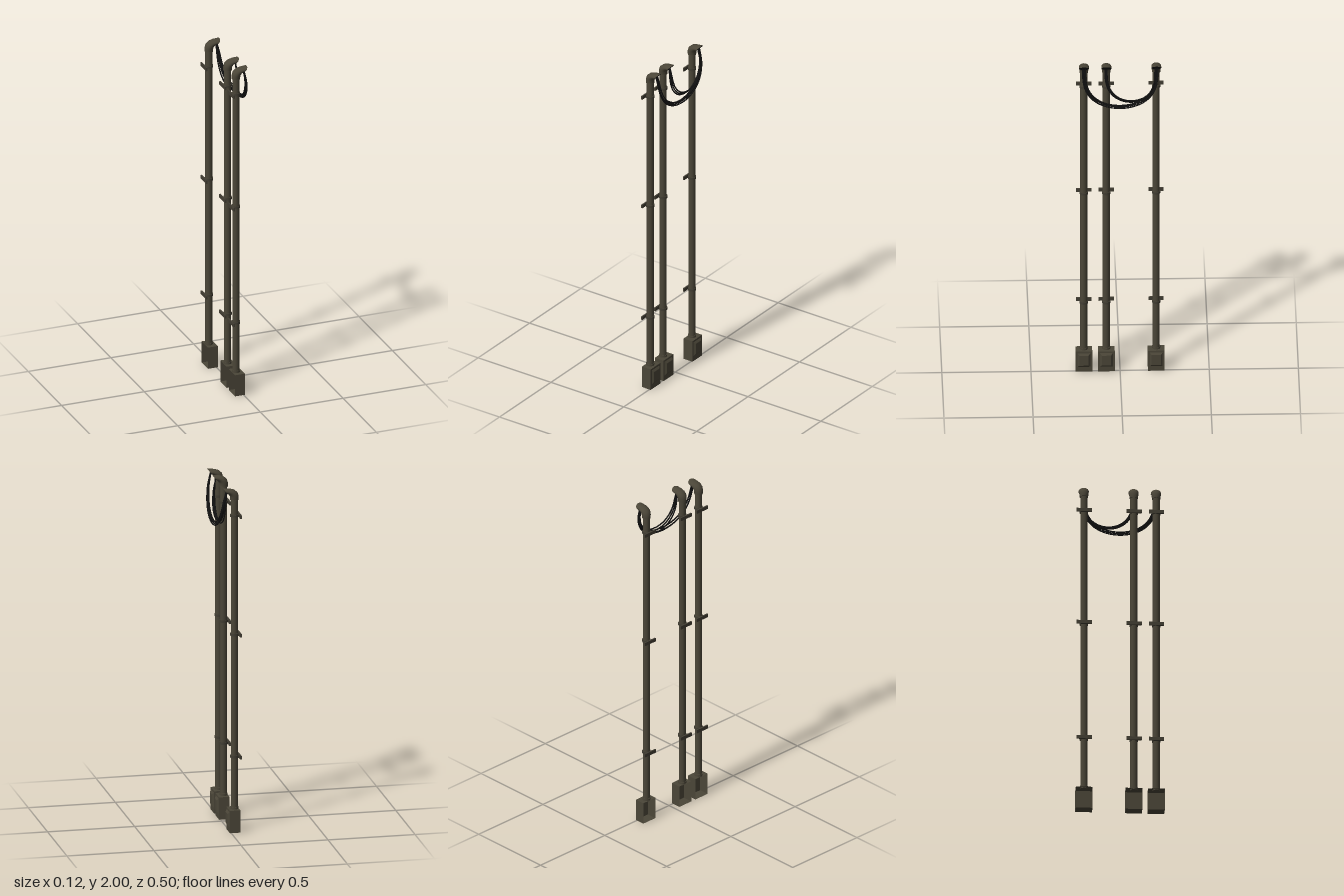
import * as THREE from 'three';

const mat = (name, color, side = THREE.FrontSide) => {
  const m = new THREE.MeshStandardMaterial({ color, side });
  m.name = name;
  return m;
};

export function createModel() {
  const model = new THREE.Group();
  const metal = mat('weathered brown metal', 0x4b4638);
  const sheet = mat('brown sheet metal', 0x4b4638, THREE.DoubleSide);
  const bracketMetal = mat('bracket metal', 0x423e33);
  const rubber = mat('black rubber', 0x121212, THREE.DoubleSide);
  const POLE_X = -0.028;

  const add = (parent, name, geo, material, x = 0, y = 0, z = 0) => {
    const mesh = new THREE.Mesh(geo, material);
    mesh.name = name;
    mesh.position.set(x, y, z);
    parent.add(mesh);
    return mesh;
  };

  // Curved hood lofted through elliptical rings: outer x, outer y, inner x, inner y, half width
  const rings = [
    [-0.052, 1.935, -0.004, 1.935, 0.024],
    [-0.052, 1.955, -0.003, 1.949, 0.026],
    [-0.045, 1.975, 0.000, 1.957, 0.028],
    [-0.026, 1.991, 0.004, 1.962, 0.028],
    [0.002, 1.998, 0.008, 1.966, 0.028],
    [0.037, 2.000, 0.010, 1.968, 0.028],
  ];
  const SIDES = 18;
  const ringPoint = ([ox, oy, ix, iy, w], k) => {
    const a = (k / SIDES) * Math.PI * 2, t = (1 - Math.cos(a)) / 2;
    return [ox + (ix - ox) * t, oy + (iy - oy) * t, w * Math.sin(a)];
  };
  function hoodGeometry() {
    const pos = [], index = [];
    rings.forEach((r) => { for (let k = 0; k < SIDES; k++) pos.push(...ringPoint(r, k)); });
    for (let i = 0; i < rings.length - 1; i++) {
      for (let k = 0; k < SIDES; k++) {
        const a = i * SIDES + k, b = i * SIDES + (k + 1) % SIDES;
        index.push(a, b, b + SIDES, a, b + SIDES, a + SIDES);
      }
    }
    const g = new THREE.BufferGeometry();
    g.setAttribute('position', new THREE.Float32BufferAttribute(pos, 3));
    g.setIndex(index);
    g.computeVertexNormals();
    return g;
  }
  // Dark disc that closes the hood's slanted mouth
  function mouthGeometry() {
    const pos = [], last = rings[rings.length - 1];
    const c = [(last[0] + last[2]) / 2, (last[1] + last[3]) / 2, 0];
    for (let k = 0; k < SIDES; k++) pos.push(...c, ...ringPoint(last, k), ...ringPoint(last, k + 1));
    const g = new THREE.BufferGeometry();
    g.setAttribute('position', new THREE.Float32BufferAttribute(pos, 3));
    g.computeVertexNormals();
    return g;
  }

  // Meter box with an open back: four walls and a front
  function addBox(parent) {
    const box = new THREE.Group();
    box.name = 'baseBox';
    parent.add(box);
    const [x0, x1, h, w] = [-0.052, 0.008, 0.13, 0.094];
    const cx = (x0 + x1) / 2, d = x1 - x0;
    for (const s of [-1, 1]) {
      const side = add(box, 'boxSide', new THREE.PlaneGeometry(d, h), sheet, cx, h / 2, s * w / 2);
      if (s < 0) side.rotation.y = Math.PI;
      const lid = add(box, s > 0 ? 'boxTop' : 'boxBottom', new THREE.PlaneGeometry(d, w), sheet, cx, s > 0 ? h : 0, 0);
      lid.rotation.x = -s * Math.PI / 2;
    }
    add(box, 'boxFront', new THREE.PlaneGeometry(w, h), sheet, x1, h / 2, 0).rotation.y = Math.PI / 2;
    // Bevelled door panel: a four-sided frustum lying on the front
    const door = new THREE.CylinderGeometry(0.72 * Math.SQRT1_2, Math.SQRT1_2, 1, 4).toNonIndexed();
    door.rotateY(Math.PI / 4);
    door.rotateZ(-Math.PI / 2);
    door.scale(0.009, 0.088, 0.072);
    door.computeVertexNormals();
    add(box, 'doorPanel', door, metal, x1 + 0.0045, 0.075, 0);
  }

  const hood = hoodGeometry(), mouth = mouthGeometry();
  const poleZ = [0.203, 0.077, -0.203];
  poleZ.forEach((z) => {
    const conduit = new THREE.Group();
    conduit.name = 'conduit';
    conduit.position.z = z;
    model.add(conduit);
    addBox(conduit);
    add(conduit, 'pole', new THREE.CylinderGeometry(0.02, 0.02, 1.83, 16), metal, POLE_X, 1.04, 0);
    add(conduit, 'baseCollar', new THREE.CylinderGeometry(0.023, 0.023, 0.012, 16), metal, POLE_X, 0.136, 0);
    add(conduit, 'hood', hood, metal);
    add(conduit, 'hoodRim', new THREE.CylinderGeometry(0.024, 0.024, 0.008, 16), metal, POLE_X, 1.935, 0);
    add(conduit, 'hoodMouth', mouth, rubber);
    // Wall brackets with a ring clamp
    for (const y of [0.435, 1.147, 1.84]) {
      add(conduit, 'bracketBar', new THREE.BoxGeometry(0.009, 0.02, 0.086), bracketMetal, -0.0565, y, 0);
      add(conduit, 'bracketClamp', new THREE.CylinderGeometry(0.024, 0.024, 0.014, 16), bracketMetal, POLE_X, y, 0);
    }
  });

  // Sagging cables between the hoods
  function addCable(zA, zB, low, xMid, spread) {
    const pts = [], top = 1.975, N = 20;
    for (let i = 0; i <= N; i++) {
      const a = (i / N - 0.5) * Math.PI, c = Math.max(Math.cos(a), 0);
      pts.push(new THREE.Vector3(
        0.018 + (xMid - 0.018) * Math.pow(c, 0.45),
        top - (top - low) * Math.pow(c, 0.68),
        (zA + zB) / 2 + ((zB - zA) / 2 + spread) * Math.sin(a)));
    }
    add(model, 'cable', new THREE.TubeGeometry(new THREE.CatmullRomCurve3(pts), 48, 0.004, 6), rubber);
  }
  for (let i = 0; i < 4; i++) {
    const spread = (i - 1.5) * 0.005;
    addCable(poleZ[0], poleZ[2], 1.741 + i * 0.006, 0.054 - (i % 3) * 0.006, spread);
    if (i < 3) addCable(poleZ[1], poleZ[2], 1.765 + i * 0.01, 0.028 + i * 0.009, spread);
  }
  return model;
}
